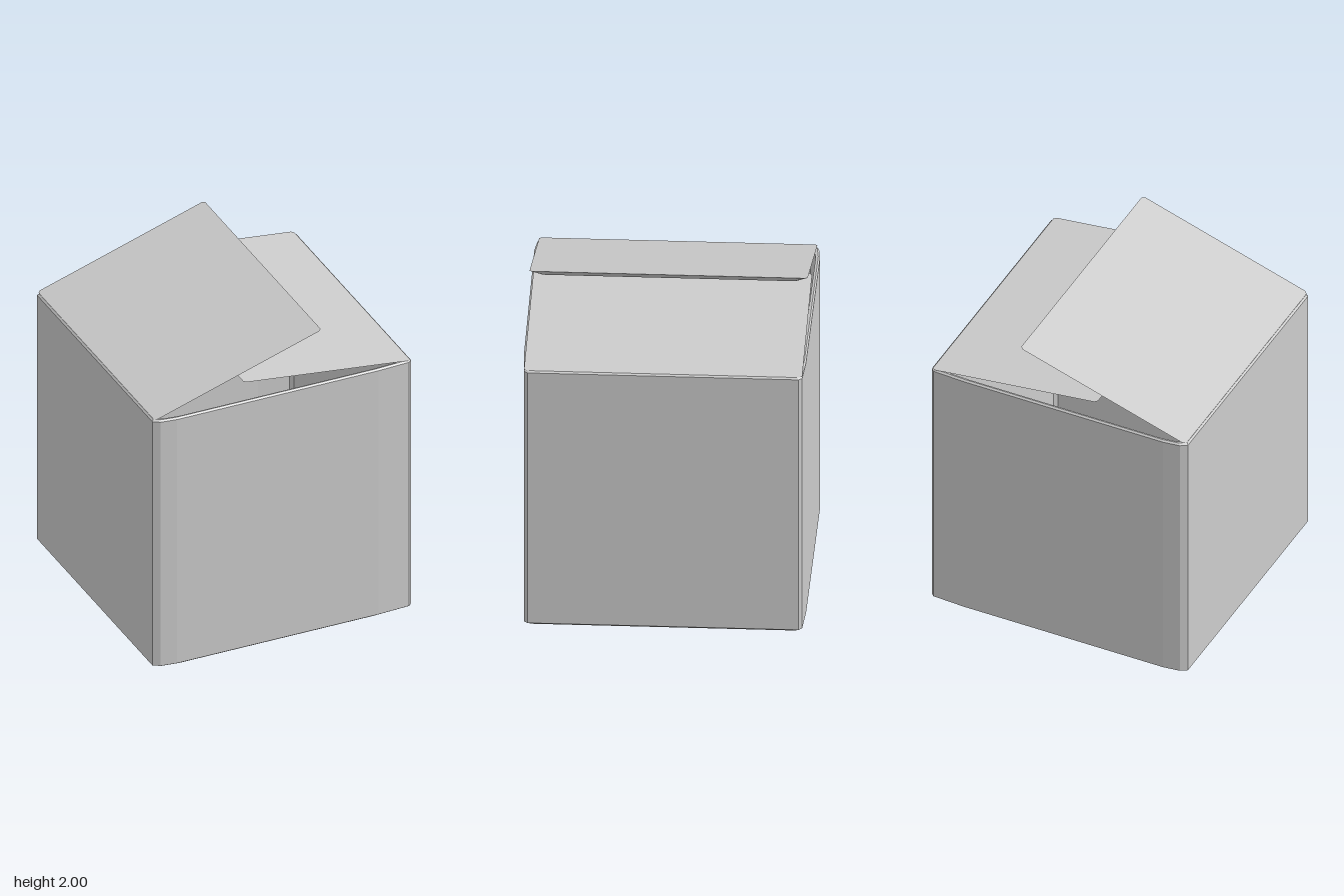
import * as THREE from 'three';

const material = new THREE.MeshStandardMaterial({ color: 0xcccccc, flatShading: true, side: THREE.DoubleSide });

// Joins closed rings of [x, y, z] points (anticlockwise from above) and caps both ends.
function loft(name, rings) {
  const pos = [];
  const n = rings[0].length;
  const centre = (r) => [0, 1, 2].map((k) => r.reduce((s, p) => s + p[k], 0) / n);
  const first = rings[0], last = rings[rings.length - 1];
  const c0 = centre(first), c1 = centre(last);
  for (let j = 0; j < n; j++) {
    const k = (j + 1) % n;
    for (let i = 0; i < rings.length - 1; i++) {
      const a = rings[i][j], b = rings[i][k], c = rings[i + 1][k], d = rings[i + 1][j];
      pos.push(...a, ...b, ...c, ...a, ...c, ...d);
    }
    pos.push(...c0, ...first[k], ...first[j], ...c1, ...last[j], ...last[k]);
  }
  const geo = new THREE.BufferGeometry();
  geo.setAttribute('position', new THREE.Float32BufferAttribute(pos, 3));
  geo.computeVertexNormals();
  const mesh = new THREE.Mesh(geo, material);
  mesh.name = name;
  return mesh;
}

// Plan outline: flat sides, slightly bulging front and back, small cut corners.
const backHalf = [[0.82, -0.78], [0.80, -0.80], [0.60, -0.812], [-0.68, -0.822], [-0.78, -0.81], [-0.82, -0.785]];
const outline = [...backHalf, ...backHalf.map(([x, z]) => [x, -z]).reverse()];

function outlineRing(inset, y) {
  const s = 1 - inset / 0.82;
  return outline.map(([x, z]) => [x * s, y, z * s]);
}

// A flap: full top sheet with an underside inset all round.
// Each sheet is given by its hinge point and tip point as [x, y].
function flap(name, top, under) {
  const sheet = ([hinge, tip], halfZ, cut) => {
    const [lo, hi] = hinge[0] < tip[0] ? [hinge, tip] : [tip, hinge];
    const yAt = (x) => lo[1] + ((hi[1] - lo[1]) * (x - lo[0])) / (hi[0] - lo[0]);
    const z = halfZ, c = cut;
    return [
      [hi[0], z - c], [hi[0], -z + c], [hi[0] - c, -z], [lo[0] + c, -z],
      [lo[0], -z + c], [lo[0], z - c], [lo[0] + c, z], [hi[0] - c, z],
    ].map(([x, zz]) => [x, yAt(x), zz]);
  };
  return loft(name, [sheet(under, 0.73, 0.01), sheet(top, 0.80, 0.015)]);
}

export function createModel() {
  const group = new THREE.Group();
  group.name = 'openBox';

  // Hollow body: chamfered base, outer wall, lip, inner wall and inner floor
  group.add(loft('boxBody', [
    outlineRing(0.025, 0), outlineRing(0, 0.018), outlineRing(0, 1.645),
    outlineRing(0.01, 1.655), outlineRing(0.025, 1.65), outlineRing(0.03, 0.03),
  ]));

  // Two overlapping flaps hinged on the sides
  group.add(flap('rightFlap', [[-0.81, 1.658], [0.245, 2.0]], [[-0.74, 1.625], [0.18, 1.945]]));
  group.add(flap('leftFlap', [[0.81, 1.655], [-0.245, 1.772]], [[0.74, 1.62], [-0.17, 1.73]]));

  return group;
}
